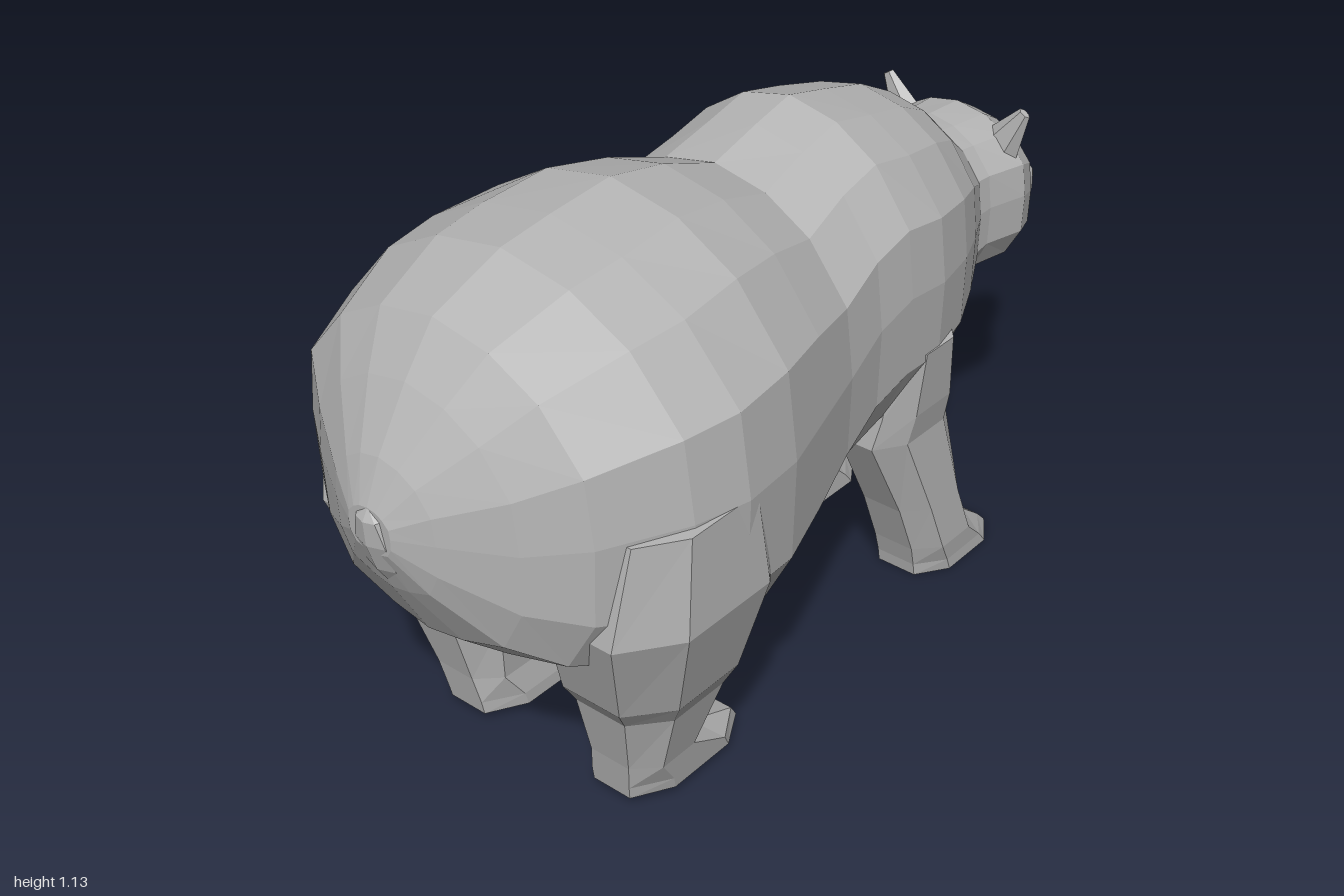
import * as THREE from 'three';

// Skin a list of equal-length rings (counter-clockwise seen from the far end), flat shaded
function loft(rings) {
  const pos = [];
  const tri = (...pts) => pts.forEach((p) => pos.push(p.x, p.y, p.z));
  const n = rings[0].length;
  const middle = (ring) => ring.reduce((s, p) => s.add(p), new THREE.Vector3()).divideScalar(n);
  const first = rings[0], last = rings[rings.length - 1];
  const c0 = middle(first), c1 = middle(last);
  for (let j = 0; j < n; j++) {
    const k = (j + 1) % n;
    for (let i = 0; i < rings.length - 1; i++) {
      const a = rings[i][j], b = rings[i][k], c = rings[i + 1][k], d = rings[i + 1][j];
      tri(a, b, c);
      tri(a, c, d);
    }
    tri(first[k], first[j], c0);
    tri(last[j], last[k], c1);
  }
  const g = new THREE.BufferGeometry();
  g.setAttribute('position', new THREE.Float32BufferAttribute(pos, 3));
  g.computeVertexNormals();
  return g;
}

// Half outline of the body: share of half width, share of height
const HALF = [[0, 1], [0.37, 0.965], [0.68, 0.88], [0.95, 0.72], [1, 0.52], [0.98, 0.28], [0.78, 0.1], [0.35, 0.03], [0, 0]];
const OUTLINE = [...HALF, ...HALF.slice(1, -1).reverse().map(([w, h]) => [-w, h])];

// Body stations: x, bottom, top, half width
const bodyRings = (stations) => stations.map(([x, lo, hi, w]) =>
  OUTLINE.map(([u, v]) => new THREE.Vector3(x, lo + v * (hi - lo), u * w)));

const TORSO = [
  [-0.985, 0.67, 0.76, 0.05], [-0.95, 0.58, 0.84, 0.12], [-0.88, 0.45, 0.95, 0.24],
  [-0.81, 0.39, 1.04, 0.34], [-0.65, 0.32, 1.1, 0.415], [-0.53, 0.29, 1.115, 0.435],
  [-0.38, 0.26, 1.128, 0.415], [-0.24, 0.29, 1.1, 0.37], [-0.1, 0.345, 1.05, 0.325],
  [0.02, 0.385, 1.085, 0.303], [0.12, 0.41, 1.11, 0.302], [0.23, 0.415, 1.085, 0.3],
  [0.35, 0.435, 1.055, 0.27], [0.45, 0.475, 1.005, 0.225], [0.56, 0.53, 0.91, 0.165],
];
const HEAD = [
  [0.54, 0.53, 0.915, 0.16], [0.6, 0.55, 0.905, 0.162], [0.7, 0.548, 0.9, 0.183],
  [0.77, 0.546, 0.86, 0.155], [0.815, 0.547, 0.81, 0.125], [0.85, 0.55, 0.735, 0.092],
  [0.9, 0.555, 0.69, 0.065], [0.965, 0.585, 0.655, 0.042], [1, 0.61, 0.642, 0.02],
];

// Leg stations from the ground up: y, back x, front x, inner z, outer z
const HIND_LEG = [
  [0.02, -0.64, -0.33, 0.1, 0.28], [0.05, -0.645, -0.35, 0.1, 0.285], [0.11, -0.655, -0.48, 0.11, 0.295],
  [0.25, -0.69, -0.42, 0.1, 0.335], [0.31, -0.73, -0.405, 0.1, 0.37], [0.52, -0.8, -0.37, 0.12, 0.435],
  [0.72, -0.76, -0.42, 0.2, 0.43],
];
const FRONT_LEG = [
  [0, 0.28, 0.55, 0.09, 0.275], [0.03, 0.275, 0.52, 0.09, 0.275], [0.08, 0.26, 0.455, 0.09, 0.28],
  [0.2, 0.215, 0.41, 0.09, 0.275], [0.4, 0.115, 0.37, 0.095, 0.265], [0.47, 0.125, 0.36, 0.11, 0.28],
  [0.62, 0.14, 0.32, 0.14, 0.298],
];

// Eight-sided leg rings; side is +1 or -1 along z
function legRings(stations, side) {
  const corners = [[1, 0.5], [0.5, 1], [-0.5, 1], [-1, 0.5], [-1, -0.5], [-0.5, -1], [0.5, -1], [1, -0.5]];
  return stations.map(([y, x0, x1, z0, z1]) => corners.map(([u, v]) => new THREE.Vector3(
    (x0 + x1) / 2 + v * (x1 - x0) / 2, y, side * (z0 + z1) / 2 + u * (z1 - z0) / 2)));
}

export function createModel() {
  const model = new THREE.Group();
  model.name = 'bear';
  const fur = new THREE.MeshStandardMaterial({ color: 0xb4b4b4 });
  fur.name = 'grey fur';

  const add = (name, geometry) => {
    const mesh = new THREE.Mesh(geometry, fur);
    mesh.name = name;
    model.add(mesh);
    return mesh;
  };
  const faceted = (geometry) => {
    const g = geometry.toNonIndexed();
    g.computeVertexNormals();
    return g;
  };

  add('torso', loft(bodyRings(TORSO)));
  add('head', loft(bodyRings(HEAD)));

  // Short tail lying against the rump
  const tail = faceted(new THREE.SphereGeometry(1, 8, 5).scale(0.035, 0.095, 0.055));
  const tailMesh = add('tail', tail);
  tailMesh.position.set(-0.955, 0.67, 0);
  tailMesh.rotation.z = 0.3;

  for (const side of [1, -1]) {
    const label = side > 0 ? 'Near' : 'Far';
    add('hindLeg' + label, loft(legRings(HIND_LEG, side)));
    add('frontLeg' + label, loft(legRings(FRONT_LEG, side)));
    // Flattened pointed ear leaning outwards
    const ear = add('ear' + label, faceted(new THREE.CylinderGeometry(0.014, 0.048, 0.11, 6).scale(0.6, 1, 1)));
    ear.position.set(0.69, 0.875, side * 0.145);
    ear.rotation.x = side * 0.55;
  }
  return model;
}
